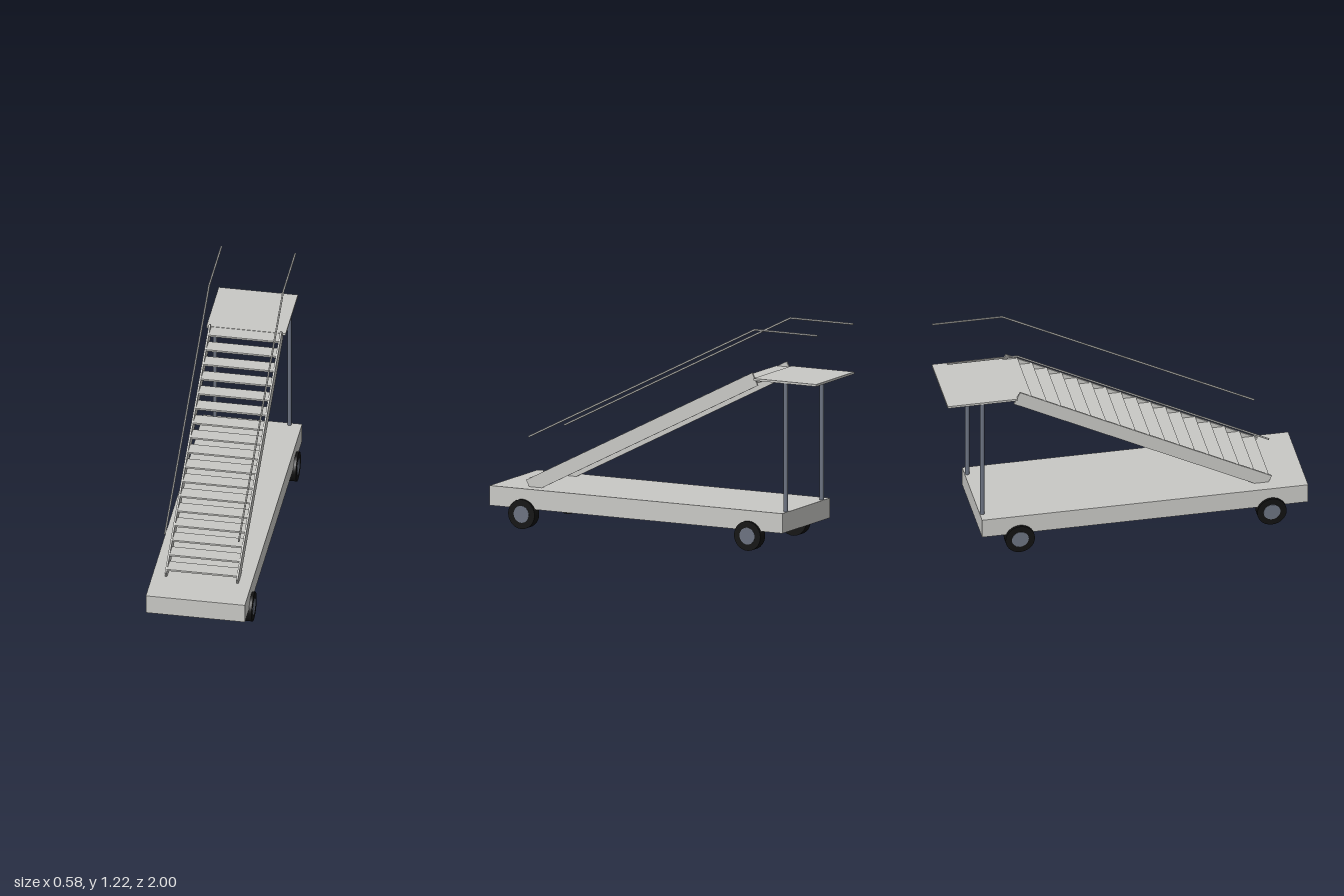
import * as THREE from 'three';

export function createModel() {
  const model = new THREE.Group();
  model.name = 'boardingStairs';

  const material = (name, color) => {
    const m = new THREE.MeshStandardMaterial({ color });
    m.name = name;
    return m;
  };
  const body = material('light grey', 0xc8c8c5);
  const steel = material('slate grey', 0x6b7280);
  const rubber = material('black rubber', 0x111111);

  const add = (name, geometry, mat, x, y, z) => {
    const mesh = new THREE.Mesh(geometry, mat);
    mesh.name = name;
    mesh.position.set(x, y, z);
    model.add(mesh);
    return mesh;
  };

  // Slim round bar between two points
  const bar = (name, a, b, radius, mat) => {
    const dir = b.clone().sub(a);
    const mid = a.clone().add(b).multiplyScalar(0.5);
    const mesh = add(name, new THREE.CylinderGeometry(radius, radius, dir.length(), 10), mat, mid.x, mid.y, mid.z);
    mesh.quaternion.setFromUnitVectors(new THREE.Vector3(0, 1, 0), dir.normalize());
  };

  // Flat chassis and upper landing
  add('chassis', new THREE.BoxGeometry(0.55, 0.11, 1.82), body, 0, 0.167, 0.09);
  add('landing', new THREE.BoxGeometry(0.44, 0.012, 0.39), body, 0, 0.941, -0.805);

  // Centre line of the flight of stairs
  const foot = { y: 0.224, z: 0.795 };
  const head = { y: 0.94, z: -0.61 };
  const rise = head.y - foot.y;
  const run = foot.z - head.z;
  const steps = 17;

  // Horizontal treads
  for (let i = 1; i <= steps; i++) {
    add('tread', new THREE.BoxGeometry(0.39, 0.01, run / steps), body,
      0, foot.y + (rise * i) / steps, foot.z - (run * (i - 0.5)) / steps);
  }

  for (const side of [-1, 1]) {
    // Sloping side beam
    const stringer = add('stringer', new THREE.BoxGeometry(0.01, 0.077, Math.hypot(rise, run)), body,
      side * 0.198, (foot.y + head.y) / 2, (foot.z + head.z) / 2);
    stringer.rotation.x = Math.atan2(rise, run);

    // Handrail: sloping part, then level part over the landing
    const railPoint = (y, z) => new THREE.Vector3(side * 0.205, y, z);
    bar('slopingHandrail', railPoint(0.5, 0.795), railPoint(1.215, -0.61), 0.005, body);
    bar('levelHandrail', railPoint(1.215, -0.61), railPoint(1.215, -1), 0.005, body);

    // Post carrying the landing
    add('supportPost', new THREE.CylinderGeometry(0.012, 0.012, 0.715, 16), steel, side * 0.207, 0.578, -0.805);

    // Wheels, with hubs standing slightly proud of both faces
    for (const z of [0.795, -0.61]) {
      const tyre = add('tyre', new THREE.CylinderGeometry(0.082, 0.082, 0.055, 28), rubber, side * 0.263, 0.082, z);
      const hub = add('hub', new THREE.CylinderGeometry(0.047, 0.047, 0.059, 24), steel, side * 0.263, 0.082, z);
      tyre.rotation.z = hub.rotation.z = Math.PI / 2;
    }
  }

  return model;
}
